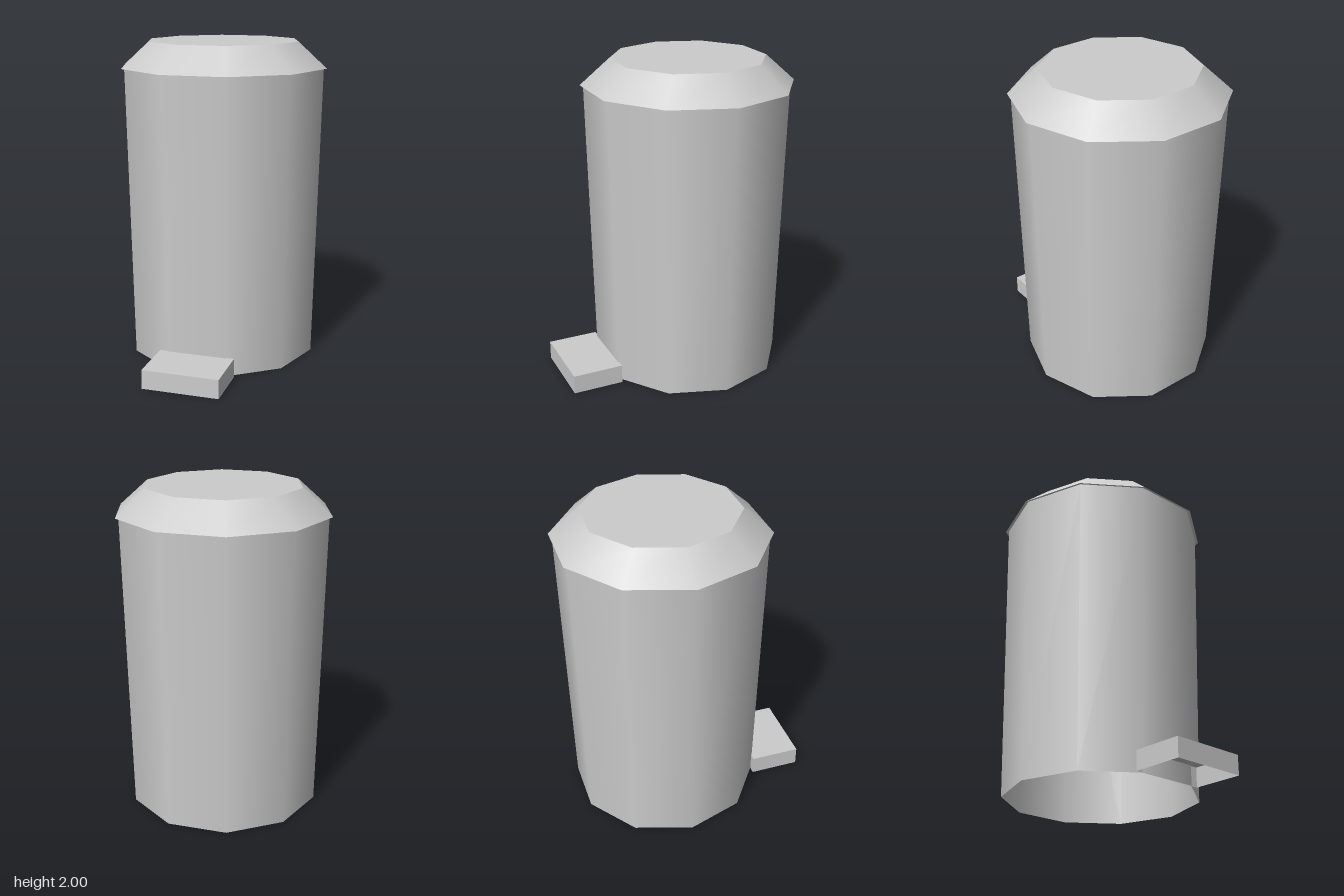
import * as THREE from 'three';

const SIDES = 10;
const CENTER_Z = -0.13;

export function createModel() {
  const model = new THREE.Group();
  model.name = 'pedalBin';

  const greyMetal = new THREE.MeshStandardMaterial({ color: 0xcccccc, side: THREE.DoubleSide });
  greyMetal.name = 'grey metal';

  const add = (name, geometry, y, z) => {
    const mesh = new THREE.Mesh(geometry, greyMetal);
    mesh.name = name;
    mesh.position.set(0, y, z);
    model.add(mesh);
  };

  // Open ten-sided tube with corners on the x axis and smooth sides
  const tube = (rTop, rBottom, height) =>
    new THREE.CylinderGeometry(rTop, rBottom, height, SIDES, 1, true, Math.PI / 2);

  // Tapered body, open underneath
  add('body', tube(0.64, 0.6, 1.845), 1.845 / 2, CENTER_Z);

  // Sloping lid overhanging the body, with a flat top
  add('lidSlope', tube(0.48, 0.66, 0.16), 1.92, CENTER_Z);
  add('lidTop', new THREE.CircleGeometry(0.48, SIDES).rotateX(-Math.PI / 2), 2, CENTER_Z);

  // Foot pedal: a box without its underside
  const pedal = new THREE.BoxGeometry(0.48, 0.12, 0.32);
  const index = Array.from(pedal.index.array);
  index.splice(18, 6);
  pedal.setIndex(index);
  pedal.clearGroups();
  add('pedal', pedal, 0.06, 0.595);

  return model;
}
